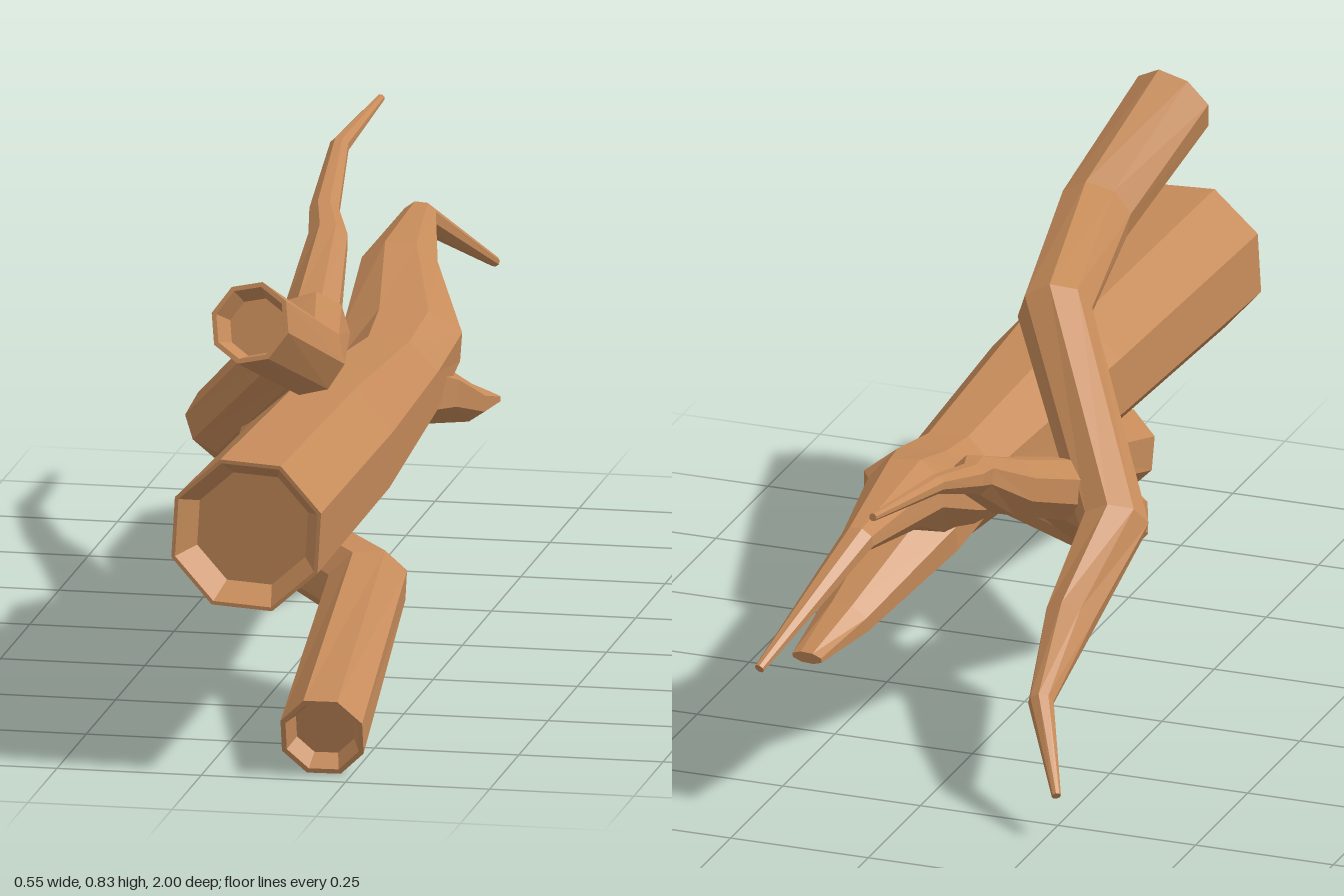
import * as THREE from 'three';

const SIDES = 8;
const UP = new THREE.Vector3(0, 1, 0);

// Ring of points around a centre, square to direction t
function ring(center, t, rx, ry, twist) {
  const u = new THREE.Vector3().crossVectors(UP, t).normalize();
  const v = new THREE.Vector3().crossVectors(t, u);
  return Array.from({ length: SIDES }, (_, k) => {
    const a = twist + (k / SIDES) * Math.PI * 2;
    return center.clone().addScaledVector(u, Math.cos(a) * rx).addScaledVector(v, Math.sin(a) * ry);
  });
}

// Loft along stations [x, y, z, radius, vertical radius]; a sawn end gets a sunken face
function limb(name, stations, material, { twist = Math.PI / 8, sunken = 0, floor = 0.74, rim = 0.93 } = {}) {
  const pts = stations.map(s => new THREE.Vector3(s[0], s[1], s[2]));
  const last = pts.length - 1;
  const dir = i => {
    const t = new THREE.Vector3();
    if (i > 0) t.add(pts[i].clone().sub(pts[i - 1]).normalize());
    if (i < last) t.add(pts[i + 1].clone().sub(pts[i]).normalize());
    return t.normalize();
  };
  const rings = [];
  const t0 = dir(0), r0 = stations[0][3];
  const deep = pts[0].clone().addScaledVector(t0, sunken);
  rings.push(ring(deep, t0, 0, 0, twist));
  if (sunken) {
    rings.push(ring(deep, t0, r0 * floor, r0 * floor, twist));
    rings.push(ring(pts[0], t0, r0 * rim, r0 * rim, twist));
  }
  stations.forEach((s, i) => rings.push(ring(pts[i], dir(i), s[3], s[4] ?? s[3], twist)));
  rings.push(ring(pts[last], dir(last), 0, 0, twist));

  const pos = [];
  const tri = (...p) => p.forEach(q => pos.push(q.x, q.y, q.z));
  for (let i = 0; i < rings.length - 1; i++) {
    for (let k = 0; k < SIDES; k++) {
      const n = (k + 1) % SIDES;
      const a = rings[i][k], b = rings[i][n], c = rings[i + 1][n], d = rings[i + 1][k];
      if (i > 0) tri(a, b, c);
      else { tri(a, c, d); continue; }
      if (i < rings.length - 2) tri(a, c, d);
    }
  }
  const geo = new THREE.BufferGeometry();
  geo.setAttribute('position', new THREE.Float32BufferAttribute(pos, 3));
  geo.computeVertexNormals();
  const mesh = new THREE.Mesh(geo, material);
  mesh.name = name;
  return mesh;
}

export function createModel() {
  const group = new THREE.Group();
  group.name = 'driftwoodBranches';
  const wood = new THREE.MeshStandardMaterial({ color: 0xc68b5a });
  wood.name = 'wood';
  wood.flatShading = true;

  // Thick central branch, bending up and then down to a thin tip
  group.add(limb('mainBranch', [
    [0.078, 0.428, 1.0, 0.138],
    [0.09, 0.43, 0.4, 0.128],
    [0.1, 0.427, -0.1, 0.094],
    [0.097, 0.468, -0.235, 0.11, 0.075],
    [0.053, 0.545, -0.43, 0.07, 0.062],
    [0.03, 0.573, -0.72, 0.03, 0.025],
    [0.105, 0.43, -0.995, 0.009],
  ], wood, { twist: Math.PI / 8 + 0.06, sunken: 0.05, rim: 0.95 }));

  // Splintered stub below the fork
  group.add(limb('splinter', [
    [0.1, 0.427, -0.08, 0.085],
    [0.115, 0.39, -0.23, 0.09, 0.06],
    [0.15, 0.313, -0.47, 0.05, 0.035],
    [0.168, 0.29, -0.6, 0.03, 0.011],
  ], wood));

  // Branch with its sawn end resting on the ground
  group.add(limb('lowerBranch', [
    [0.202, 0.072, 0.963, 0.076],
    [0.18, 0.215, 0.47, 0.074],
    [-0.07, 0.265, 0.225, 0.07],
    [-0.062, 0.405, 0.0, 0.056],
    [-0.06, 0.5, -0.24, 0.052],
    [-0.07, 0.595, -0.43, 0.036],
    [-0.093, 0.622, -0.51, 0.027],
    [-0.107, 0.69, -0.71, 0.017],
    [-0.084, 0.718, -0.95, 0.007],
  ], wood, { sunken: 0.035, rim: 0.88, floor: 0.7 }));

  // Branch crossing over the top and down the right side
  group.add(limb('upperBranch', [
    [0.058, 0.767, 0.868, 0.073],
    [0.105, 0.65, 0.615, 0.067],
    [0.045, 0.612, 0.265, 0.064],
    [-0.178, 0.37, -0.04, 0.06],
    [-0.168, 0.265, -0.23, 0.045],
    [-0.185, 0.187, -0.41, 0.022],
    [-0.266, 0.08, -0.55, 0.008],
  ], wood, { twist: 0.15, sunken: 0.035, rim: 0.88, floor: 0.7 }));

  return group;
}
